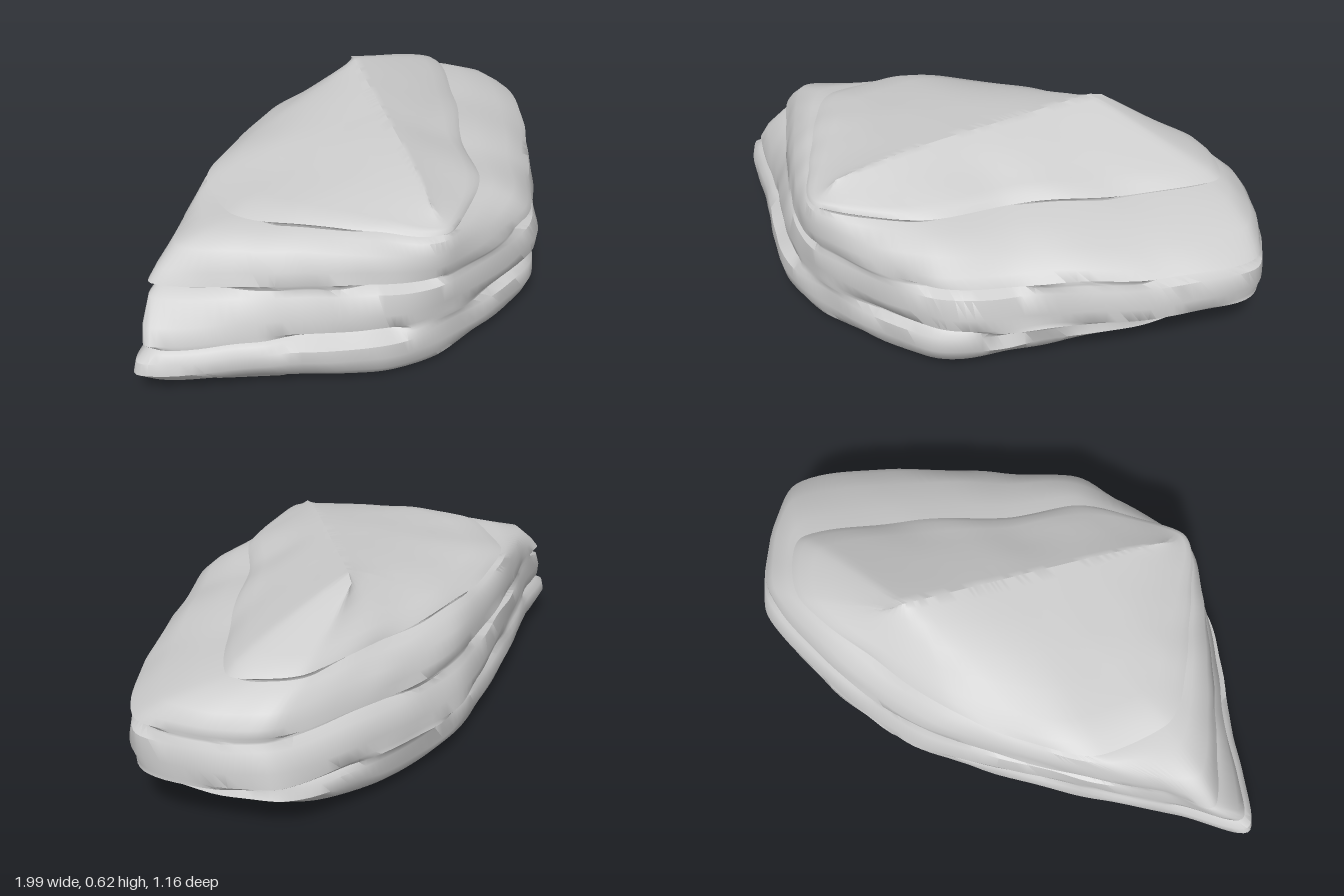
import * as THREE from 'three';
import { toCreasedNormals } from 'three/addons/utils/BufferGeometryUtils.js';

const N = 156; // samples around each ring

// Outlines as x,z pairs: left tip, along the back, right corner, front, back to the tip
const BASE = [-0.88, 0.03, -0.72, -0.08, -0.42, -0.27, 0, -0.46, 0.35, -0.51, 0.57, -0.45, 0.65, -0.2,
  0.55, 0.1, 0.38, 0.35, 0.19, 0.52, -0.2, 0.555, -0.42, 0.48, -0.66, 0.26];
const LOWER = [-1, 0.03, -0.78, -0.1, -0.45, -0.29, 0, -0.51, 0.4, -0.575, 0.74, -0.52, 0.9, -0.23,
  0.73, 0.11, 0.45, 0.39, 0.24, 0.56, -0.2, 0.575, -0.42, 0.52, -0.72, 0.275];
const MIDDLE = [-0.965, 0.03, -0.78, -0.09, -0.46, -0.28, 0, -0.54, 0.4, -0.585, 0.78, -0.54, 0.99, -0.19,
  0.8, 0.12, 0.5, 0.38, 0.27, 0.56, -0.2, 0.575, -0.41, 0.5, -0.69, 0.26];
const UPPER = [-0.87, -0.04, -0.72, -0.12, -0.46, -0.28, 0, -0.5, 0.4, -0.55, 0.77, -0.5, 0.985, -0.17,
  0.77, 0.12, 0.47, 0.37, 0.23, 0.55, -0.2, 0.575, -0.39, 0.48, -0.64, 0.23];
const CAP = [-0.59, 0.02, -0.5, -0.2, -0.38, -0.29, -0.05, -0.41, 0.3, -0.46, 0.6, -0.47, 0.75, -0.31,
  0.52, -0.02, 0.28, 0.21, 0.13, 0.41, -0.2, 0.565, -0.36, 0.41, -0.53, 0.17];
// The crest is a line, so only its z is listed
const RIDGE = [0.08, -0.02, -0.1, -0.25, -0.3, -0.33, -0.28, -0.1, 0.1, 0.35, 0.48, 0.38, 0.25]
  .flatMap((z) => [0.1 - 0.6 * z, z]);

const smooth = THREE.MathUtils.smoothstep;
const mix = (a, b, t) => a.map((v, i) => v + (b[i] - v) * t);
const crestHeight = (z) =>
  z > 0 ? 0.597 - 0.07 * z - 0.33 * z ** 3 : 0.597 - 0.09 * z - 0.4 * Math.max(0, -0.29 - z);

// Soft irregularity from position, stretched along the beds
const rough = (x, y, z) =>
  (Math.sin(x * 8 + y * 21 + 1.3) * Math.cos(z * 9 - y * 17) +
    0.5 * Math.sin(x * 17 - z * 14 + y * 34) + 0.25 * Math.cos(z * 31 + x * 25 + y * 11)) / 2;

// Closed ring from an outline; heightAt gives y from x and z
function ring(outline, inset, heightAt, amount = 0.009) {
  const pts = [];
  for (let i = 0; i < outline.length; i += 2) pts.push(new THREE.Vector3(outline[i], 0, outline[i + 1]));
  const curve = new THREE.CatmullRomCurve3(pts, true, 'catmullrom', 0.36);
  return Array.from({ length: N }, (_, i) => {
    const p = curve.getPoint(i / N);
    const y = heightAt(p.x, p.z);
    // Cracks open and close along their length
    const open = inset > 0.02 ? 0.25 + 0.75 * smooth(Math.sin(i * 0.242 + inset * 400), -0.7, 0.5) : 1;
    const k = 1 - (inset * open - amount * rough(p.x, y * 2, p.z)) / Math.max(p.length(), 0.15);
    return p.set(p.x * k, y, p.z * k);
  });
}

// Bed height: wavy, with separate lifts toward the right and left ends
const bed = (y, right = 0, left = 0, wave = 0.012) => (x, z) =>
  y + right * smooth(x, 0.25, 0.88) + left * smooth(-x, 0.2, 0.6) + wave * rough(x * 0.7, 0.3, z * 0.7);

// Joins rings from bottom to top and closes both ends
function loft(rings) {
  const pos = [];
  const tri = (...v) => v.forEach((p) => pos.push(p.x, p.y, p.z));
  const centre = (r) => r.reduce((s, p) => s.add(p), new THREE.Vector3()).divideScalar(N);
  const bottom = centre(rings[0]).setY(0);
  const top = centre(rings.at(-1));
  for (let i = 0; i < N; i++) {
    const j = (i + 1) % N;
    tri(bottom, rings[0][i], rings[0][j]);
    for (let r = 0; r < rings.length - 1; r++) {
      const a = rings[r], b = rings[r + 1];
      tri(a[i], b[i], b[j]);
      tri(a[i], b[j], a[j]);
    }
    tri(top, rings.at(-1)[j], rings.at(-1)[i]);
  }
  const g = new THREE.BufferGeometry();
  g.setAttribute('position', new THREE.Float32BufferAttribute(pos, 3));
  return toCreasedNormals(g, 0.8);
}

export function createModel() {
  const group = new THREE.Group();
  group.name = 'layeredRock';
  const stone = new THREE.MeshStandardMaterial({ color: 0xcccccc, side: THREE.DoubleSide });
  stone.name = 'grey stone';

  const rings = [
    // underside and lower bed
    ring(BASE, 0.08, bed(0.008, 0, 0, 0), 0),
    ring(BASE, 0, bed(0.018, 0.012, 0.01, 0), 0.004),
    ring(mix(BASE, LOWER, 0.6), 0, bed(0.04, 0.045, 0.015, 0.006)),
    ring(LOWER, 0, bed(0.085, 0.04, 0.012)),
    ring(LOWER, 0.006, bed(0.135, 0.01)),
    // first crack
    ring(mix(LOWER, MIDDLE, 0.5), 0.032, bed(0.156)),
    ring(MIDDLE, 0.032, bed(0.164)),
    // middle bed, narrowing upward at the tip
    ring(MIDDLE, 0.012, bed(0.178)),
    ring(mix(MIDDLE, UPPER, 0.3), -0.002, bed(0.225)),
    ring(mix(MIDDLE, UPPER, 0.8), 0.004, bed(0.288)),
    // second crack
    ring(UPPER, 0.036, bed(0.306)),
    ring(UPPER, 0.036, bed(0.313)),
    // upper bed and its sloping shoulder
    ring(UPPER, 0.004, bed(0.326)),
    ring(mix(UPPER, CAP, 0.1), 0, bed(0.36, -0.01, 0.005)),
    ring(mix(UPPER, CAP, 0.35), -0.004, bed(0.405, -0.017, 0.02)),
    ring(mix(UPPER, CAP, 0.75), 0, bed(0.442, -0.015, 0.016)),
    // third crack
    ring(CAP, 0.021, bed(0.454, -0.01, 0.012)),
    ring(CAP, 0.021, bed(0.46, -0.01, 0.012)),
    ring(CAP, -0.002, bed(0.467, -0.01, 0.014)),
  ];
  // cap rising to the crest
  for (const t of [0.07, 0.2, 0.38, 0.58, 0.78, 0.93, 1]) {
    rings.push(ring(mix(CAP, RIDGE, t), 0, (x, z) => {
      const edge = bed(0.478, -0.01, 0.016)(x, z);
      return edge + (crestHeight(z) - edge) * t * (1.2 - 0.2 * t) + 0.02 * t * (1 - t) * rough(x, 0.5, z);
    }, 0.01 * (1 - t)));
  }

  const rock = new THREE.Mesh(loft(rings), stone);
  rock.name = 'rockBody';
  group.add(rock);

  // Rest on the ground, centred
  const box = new THREE.Box3().setFromObject(rock);
  const c = box.getCenter(new THREE.Vector3());
  rock.position.set(-c.x, -box.min.y, -c.z);
  return group;
}
